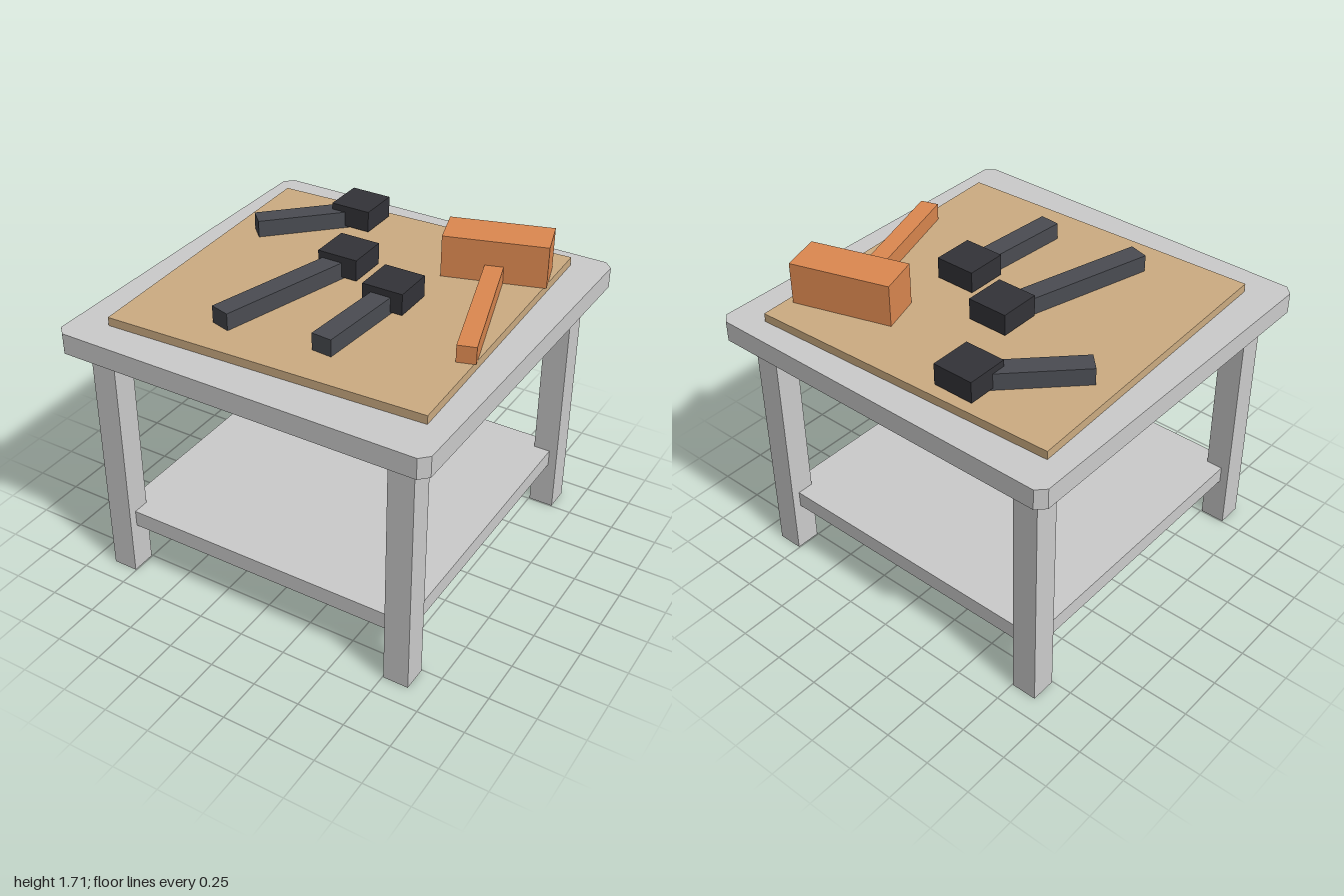
import * as THREE from 'three';

const material = (color) => new THREE.MeshStandardMaterial({ color });

export function createModel() {
  const model = new THREE.Group();
  const grey = material(0xcccccc);
  const matTan = material(0xccac82);
  const iron = material(0x333338);
  const grip = material(0x4a4c52);
  const wood = material(0xdc8850);

  // Box given by its centre on the ground plan, its bottom and top heights, and a turn about y
  function box(name, mat, [w, d], [x, z], y0, y1, turn = 0, parent = model) {
    const mesh = new THREE.Mesh(new THREE.BoxGeometry(w, y1 - y0, d), mat);
    mesh.name = name;
    mesh.position.set(x, (y0 + y1) / 2, z);
    mesh.rotation.y = turn;
    parent.add(mesh);
  }

  // Tabletop: square slab with clipped corners
  const c = 0.955;
  const outline = new THREE.Shape([
    [-c, -1], [c, -1], [1, -c], [1, c], [c, 1], [-c, 1], [-1, c], [-1, -c],
  ].map(([x, y]) => new THREE.Vector2(x, y)));
  const slab = new THREE.ExtrudeGeometry(outline, { depth: 0.11, bevelEnabled: false });
  slab.rotateX(-Math.PI / 2);
  const top = new THREE.Mesh(slab, grey);
  top.name = 'tabletop';
  top.position.y = 1.335;
  model.add(top);

  // Legs and lower shelf
  for (const x of [-0.822, 0.822]) {
    for (const z of [-0.822, 0.822]) box('leg', grey, [0.135, 0.135], [x, z], 0, 1.34);
  }
  box('shelf', grey, [1.69, 1.69], [0, 0], 0.27, 0.36);

  // Work mat, laid slightly askew
  box('mat', matTan, [1.69, 1.64], [-0.002, -0.025], 1.445, 1.49, 0.038);

  // A tool has a block head and a bar handle running from the head's centre to its end
  function tool(name, headMat, gripMat, headSize, head, end, headY, headTurn, width) {
    const group = new THREE.Group();
    group.name = name;
    const dx = end[0] - head[0], dz = end[1] - head[1];
    const middle = [(head[0] + end[0]) / 2, (head[1] + end[1]) / 2];
    box('toolHead', headMat, headSize, head, ...headY, headTurn, group);
    box('toolHandle', gripMat, [width, Math.hypot(dx, dz)], middle, 1.49, 1.58, Math.atan2(dx, dz), group);
    model.add(group);
  }

  // Three dark hammers
  for (const [head, end] of [
    [[-0.315, -0.67], [-0.713, -0.272]],
    [[-0.093, -0.18], [-0.312, 0.618]],
    [[0.265, -0.005], [0.22, 0.573]],
  ]) tool('hammer', iron, grip, [0.22, 0.22], head, end, [1.502, 1.615], 0, 0.108);

  // Wooden mallet
  tool('mallet', wood, wood, [0.53, 0.22], [0.555, -0.538], [0.82, 0.307], [1.49, 1.712], 0.3, 0.095);

  return model;
}
